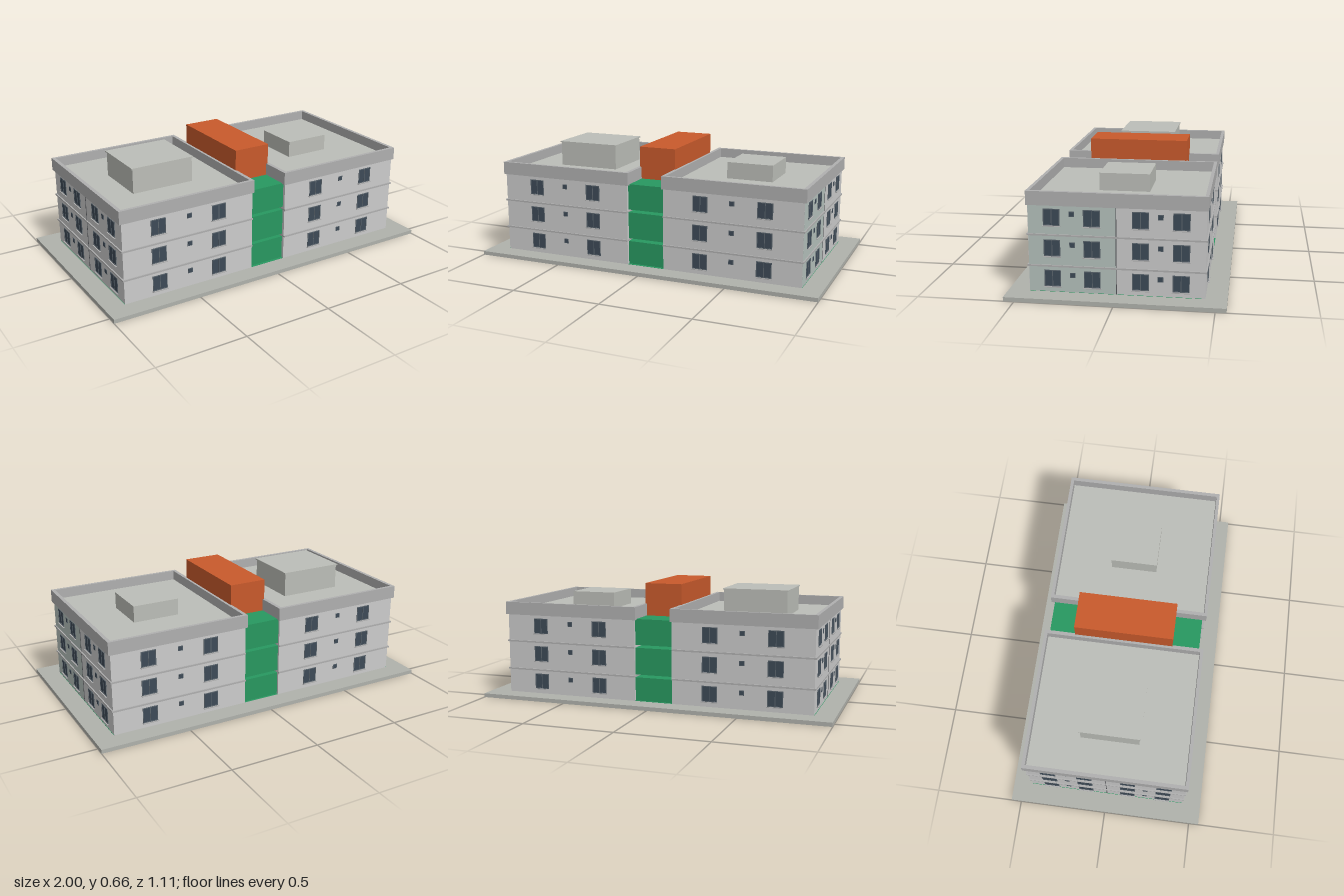
import * as THREE from 'three';

const mat = (color) => new THREE.MeshStandardMaterial({ color });

export function createModel() {
  const M = {
    wall: mat(0xcccfce), tint: mat(0xb5c1bc), base: mat(0xb0b2ac), parapet: mat(0xb0b0b0), roof: mat(0xbcbeb8),
    green: mat(0x289860), orange: mat(0xc85a2c), glass: mat(0x3d4a57), frame: mat(0x5c666e), dark: mat(0x55565a),
  };
  const building = new THREE.Group();
  building.name = 'building';

  // Box given by its low and high limits on each axis
  function box(name, material, [x0, x1], [y0, y1], [z0, z1], parent = building) {
    const mesh = new THREE.Mesh(new THREE.BoxGeometry(x1 - x0, y1 - y0, z1 - z0), material);
    mesh.position.set((x0 + x1) / 2, (y0 + y1) / 2, (z0 + z1) / 2);
    mesh.name = name;
    parent.add(mesh);
    return mesh;
  }

  // Upright-walled rectangular ring
  function ring(name, material, [x0, x1], [z0, z1], tx, tz, y, h) {
    const rect = (path, a, b, c, d) => path.moveTo(a, c).lineTo(b, c).lineTo(b, d).lineTo(a, d).closePath();
    const shape = rect(new THREE.Shape(), x0, x1, -z1, -z0);
    shape.holes.push(rect(new THREE.Path(), x0 + tx, x1 - tx, -z1 + tz, -z0 - tz));
    const geo = new THREE.ExtrudeGeometry(shape, { depth: h, bevelEnabled: false });
    geo.rotateX(-Math.PI / 2);
    const mesh = new THREE.Mesh(geo, material);
    mesh.position.y = y;
    mesh.name = name;
    building.add(mesh);
  }

  // Two-pane window facing +z, origin at its bottom centre
  function makeWindow() {
    const g = new THREE.Group();
    g.name = 'window';
    const w = 0.0425, h = 0.087;
    box('glass', M.glass, [-w, w], [0, h], [-0.004, 0.001], g);
    for (const x of [-w + 0.002, 0, w - 0.002]) {
      box('mullion', M.frame, [x - 0.002, x + 0.002], [0, h], [-0.004, 0.003], g);
    }
    for (const y of [0, h - 0.004]) box('rail', M.frame, [-w, w], [y, y + 0.004], [-0.004, 0.003], g);
    box('sill', M.parapet, [-w - 0.003, w + 0.003], [-0.004, 0], [-0.004, 0.01], g);
    return g;
  }

  function makeVent() {
    const g = new THREE.Group();
    g.name = 'smallWindow';
    box('ventFrame', M.frame, [-0.014, 0.014], [0, 0.027], [-0.004, 0.002], g);
    box('ventGlass', M.glass, [-0.011, 0.011], [0.003, 0.024], [-0.004, 0.003], g);
    return g;
  }

  const X0 = 0.108, X1 = 0.888, Z = 0.446;
  const floors = [0.05, 0.21, 0.37];

  // Open plinth with the ground floor slab inside it
  ring('plinth', M.base, [-1, 1], [-0.555, 0.555], 0.115, 0.112, 0, 0.022);
  for (const s of [-1, 1]) {
    box('groundSlab', M.green, [-0.89, 0.89], [0.015, 0.023], s > 0 ? [0.001, 0.445] : [-0.445, -0.001]);
    box('coreFooting', M.orange, [-0.108, 0.108], [0.014, 0.02], s > 0 ? [0.215, 0.28] : [-0.28, -0.215]);
  }

  for (const s of [-1, 1]) {
    const span = (a, b) => (s > 0 ? [a, b] : [-b, -a]);

    // Apartment block with floor bands
    box('block', M.wall, span(X0, X1), [0.018, 0.49], [-Z, Z]);
    for (const y of [0.155, 0.317]) {
      box('floorBand', M.parapet, span(X0, X1 + 0.007), [y, y + 0.009], [-Z - 0.007, Z + 0.007]);
    }
    box('partyJoint', M.dark, span(X1 - 0.002, X1 + 0.002), [0.022, 0.475], [-0.002, 0.002]);

    // Roof deck and parapet
    box('roofDeck', M.roof, span(0.11, 0.89), [0.48, 0.492], [-0.445, 0.445]);
    ring('parapet', M.parapet, span(0.1, 0.9), [-0.455, 0.452], 0.02, 0.018, 0.475, 0.072);

    // Windows of the front, back and outer side walls
    for (const y of floors) {
      for (const f of [-1, 1]) {
        const turn = f > 0 ? 0 : Math.PI;
        const onFace = (item, x, dy) => {
          item.position.set(s * x, y + dy, f * Z);
          item.rotation.y = turn;
          building.add(item);
        };
        onFace(makeWindow(), 0.322, 0);
        onFace(makeWindow(), 0.682, 0);
        onFace(makeVent(), 0.5, 0.049);

        const onSide = (item, z, dy) => {
          item.position.set(s * X1, y + dy, f * z);
          item.rotation.y = s * Math.PI / 2;
          building.add(item);
        };
        onSide(makeWindow(), 0.122, 0);
        onSide(makeWindow(), 0.325, 0);
        onSide(makeVent(), 0.222, 0.049);
      }
    }
  }

  // Tinted half of one end wall
  box('tintedWall', M.tint, [X1 - 0.01, X1 + 0.0006], [0.022, 0.475], [0.002, Z - 0.001]);

  // Stair link: green storeys around an orange core
  for (const [y0, y1] of [[0.02, 0.154], [0.17, 0.32], [0.336, 0.48]]) {
    box('linkStorey', M.green, [-0.109, 0.109], [y0, y1], [-0.435, 0.43]);
  }
  box('stairCore', M.orange, [-0.099, 0.099], [0.022, 0.56], [-0.278, 0.273]);
  box('stairTower', M.orange, [-0.107, 0.107], [0.548, 0.663], [-0.28, 0.275]);

  // Rooftop plant rooms
  box('largeRoofRoom', M.roof, [-0.68, -0.32], [0.49, 0.63], [-0.165, 0.16]);
  box('largeRoofRoomCap', M.roof, [-0.686, -0.314], [0.63, 0.637], [-0.171, 0.166]);
  box('smallRoofRoom', M.roof, [0.362, 0.626], [0.49, 0.585], [-0.135, 0.13]);

  return building;
}
